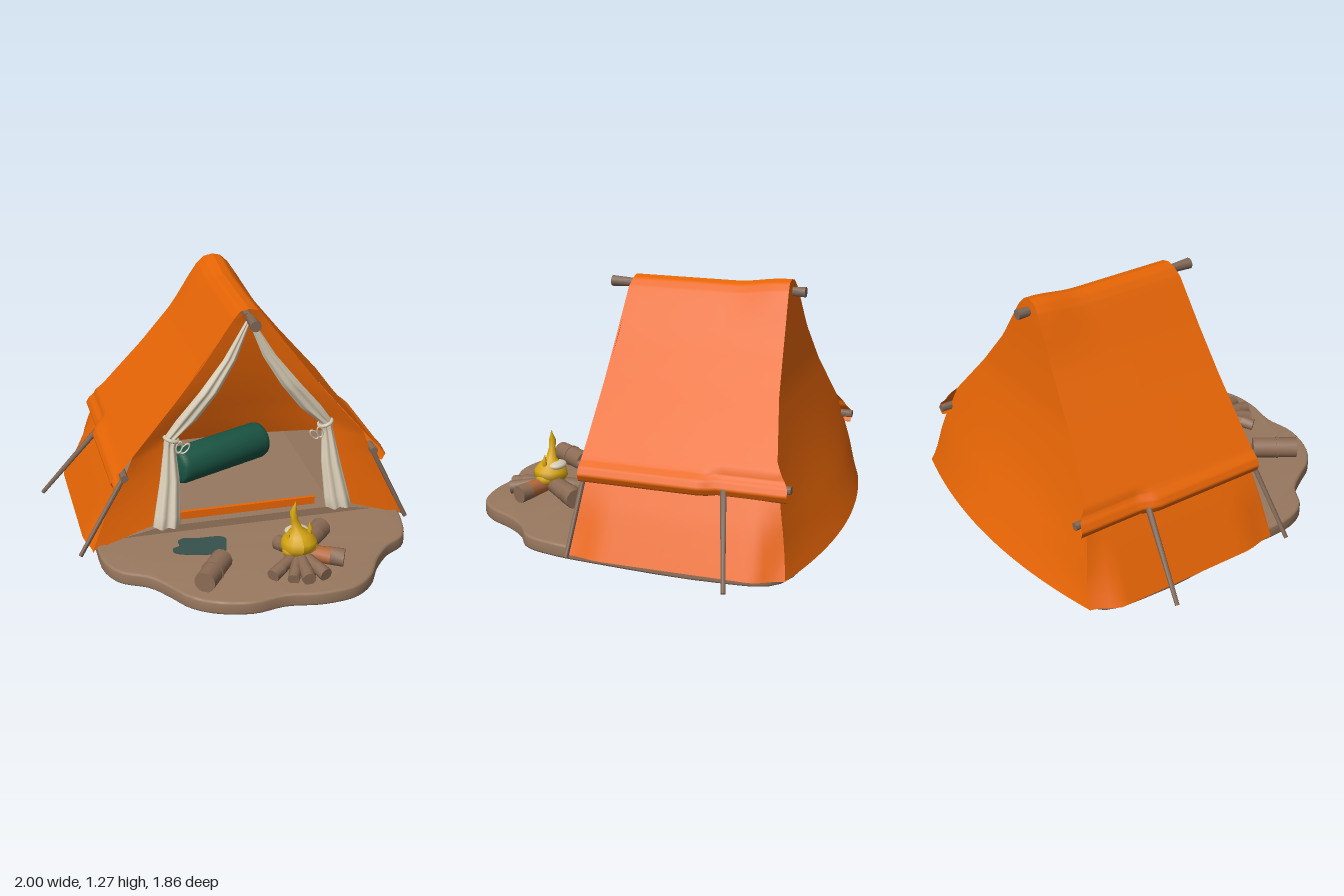
import * as THREE from 'three';
import { toCreasedNormals } from 'three/addons/utils/BufferGeometryUtils.js';

const mat = (name, color, double) => {
  const m = new THREE.MeshStandardMaterial({ color });
  m.name = name;
  if (double) m.side = THREE.DoubleSide;
  return m;
};

// Interpolate between the rows of a small table, t in 0..1
function sample(rows, t) {
  const f = t * (rows.length - 1), i = Math.min(Math.floor(f), rows.length - 2), k = f - i;
  return rows[i].map((a, j) => a + (rows[i + 1][j] - a) * k);
}

// Grid surface from a rule fn(u, v) -> [x, y, z]
function surface(nu, nv, fn) {
  const pos = [], idx = [];
  for (let i = 0; i <= nu; i++) for (let j = 0; j <= nv; j++) pos.push(...fn(i / nu, j / nv));
  for (let i = 0; i < nu; i++) for (let j = 0; j < nv; j++) {
    const a = i * (nv + 1) + j, b = a + nv + 1;
    idx.push(a, b, a + 1, b, b + 1, a + 1);
  }
  const g = new THREE.BufferGeometry();
  g.setAttribute('position', new THREE.Float32BufferAttribute(pos, 3));
  g.setIndex(idx);
  g.computeVertexNormals();
  return g;
}

// Flat slab lying on XZ with a smooth closed outline
function slab(points, y, depth, bevel) {
  const curve = new THREE.CatmullRomCurve3(points.map(p => new THREE.Vector3(p[0], p[1], 0)), true);
  const shape = new THREE.Shape(curve.getPoints(90).map(p => new THREE.Vector2(p.x, p.y)));
  const g = new THREE.ExtrudeGeometry(shape, {
    depth, bevelEnabled: bevel > 0, bevelSize: bevel, bevelThickness: bevel, bevelOffset: -bevel, bevelSegments: 3,
  });
  g.rotateX(Math.PI / 2);
  g.translate(0, y + depth + bevel, 0);
  return toCreasedNormals(g, 0.7);
}

export function createModel() {
  const root = new THREE.Group();
  root.name = 'campsite';
  const canvas = mat('orange canvas', 0xe76505, true);
  const earth = mat('earth', 0x98785f);
  const wood = mat('pole wood', 0x806857);
  const bark = mat('log bark', 0x8c6c55);
  const ember = mat('ember', 0xb4683a);
  const cream = mat('cream cloth', 0xd6cab3, true);
  const green = mat('green bedroll', 0x1a5443);
  const teal = mat('dark teal mat', 0x37514d);
  const gold = mat('flame gold', 0xd6a512);

  const add = (name, geometry, material, parent = root) => {
    const m = new THREE.Mesh(geometry, material);
    m.name = name;
    parent.add(m);
    return m;
  };
  const rod = (name, a, b, r1, r2, material, sides = 12) => {
    const va = new THREE.Vector3(...a), d = new THREE.Vector3(...b).sub(va);
    const g = toCreasedNormals(new THREE.CylinderGeometry(r2, r1, d.length(), sides), 0.9);
    const m = add(name, g, material);
    m.position.copy(va).addScaledVector(d, 0.5);
    m.quaternion.setFromUnitVectors(new THREE.Vector3(0, 1, 0), d.normalize());
    return m;
  };

  // Ground with a scalloped front
  add('ground', slab([
    [-0.8, 0.1], [-0.79, 0.38], [-0.73, 0.5], [-0.6, 0.58], [-0.52, 0.69], [-0.45, 0.8], [-0.34, 0.88],
    [-0.16, 0.925], [0, 0.9], [0.18, 0.925], [0.35, 0.9], [0.45, 0.82], [0.53, 0.68], [0.62, 0.57],
    [0.73, 0.49], [0.78, 0.35], [0.81, 0.1], [0.83, -0.5], [0.77, -0.78], [0.4, -0.87], [0, -0.89],
    [-0.4, -0.87], [-0.77, -0.78], [-0.83, -0.5],
  ], 0, 0.046, 0.012), earth);

  // Raised floor with a sloping front and sides, and a low door sill
  const floorShape = new THREE.Shape([[-0.78, 0.05], [0.78, 0.05], [0.45, 0.11], [-0.45, 0.11]].map(p => new THREE.Vector2(...p)));
  const floor = new THREE.ExtrudeGeometry(floorShape, { depth: 0.95, bevelEnabled: false });
  floor.translate(0, 0, -0.77);
  add('tentFloor', floor, earth);
  const sill = add('doorSill', new THREE.BoxGeometry(0.74, 0.045, 0.02), canvas);
  sill.position.set(0, 0.128, 0.12);

  // Canvas rows: x, y, front z, back z
  const roofRows = [
    [0, 1.25, 0.18, -0.63], [0.045, 1.24, 0.18, -0.63], [0.085, 1.2, 0.19, -0.635], [0.235, 0.985, 0.2, -0.655],
    [0.39, 0.79, 0.205, -0.68], [0.6, 0.54, 0.215, -0.735],
  ];
  const lipRows = [
    [0.66, 0.47, 0.22, -0.78], [0.7, 0.44, 0.22, -0.8], [0.718, 0.405, 0.22, -0.805], [0.7, 0.37, 0.22, -0.8], [0.64, 0.39, 0.2, -0.77],
  ];
  const wallRows = [[0.645, 0.42, 0.2, -0.76], [0.74, 0.25, 0.21, -0.795], [0.85, 0.035, 0.23, -0.83]];
  const roofLip = [...roofRows, ...lipRows];
  const backRows = [...roofRows, ...wallRows];
  const step = THREE.MathUtils.smoothstep;
  const side = (rows, t, v) => {
    let [x, y, zf, zb] = sample(rows, t);
    const z = zf + (zb - zf) * v;
    if (y > 1) y += 0.025 * step(-z, 0.35, 0.6) * step(y, 1, 1.2);
    if (rows === roofLip) x -= 0.03 * step(-z, 0.4, 0.45) * step(0.5 - y, 0, 0.06);
    else x -= (0.07 * step(v, 0.86, 1) + 0.03 * step(z, 0.05, 0.22)) * step(0.42 - y, 0, 0.35);
    return [x, y, z];
  };

  // Back panel, bulging toward the base
  add('backPanel', surface(32, 24, (u, v) => {
    const [x, y, z] = side(backRows, u, 1), s = 2 * v - 1;
    return [x * s, y, z - 0.1 * Math.max(0, (0.7 - y) / 0.66) ** 2 * (1 - s * s)];
  }), canvas);

  // Front panel rows: outer x, y, z, inner x, y, z
  const frontRows = [
    [0.01, 1.23, 0.18, 0, 1.2, 0.17], [0.085, 1.19, 0.18, 0.03, 1.13, 0.17], [0.39, 0.785, 0.2, 0.25, 0.83, 0.175],
    [0.6, 0.535, 0.205, 0.4, 0.61, 0.16], [0.645, 0.42, 0.2, 0.44, 0.42, 0.18], [0.74, 0.25, 0.21, 0.46, 0.28, 0.2],
    [0.82, 0.045, 0.228, 0.5, 0.15, 0.22],
  ];
  // Curtain rows: x, y, half width, z, half depth
  const curtainRows = [
    [0.005, 1.19, 0.012, 0.18, 0.008], [0.1, 1.0, 0.034, 0.19, 0.015], [0.21, 0.84, 0.05, 0.2, 0.022],
    [0.32, 0.7, 0.055, 0.19, 0.02], [0.4, 0.61, 0.035, 0.18, 0.025], [0.41, 0.56, 0.03, 0.185, 0.025],
    [0.42, 0.4, 0.05, 0.225, 0.03], [0.45, 0.17, 0.07, 0.275, 0.045], [0.45, 0.18, 0, 0.275, 0],
  ];
  const ropes = {
    '-1': [[[-0.65, 0.43, 0.21], [-0.89, 0.05, 0.27]], [[-0.68, 0.41, -0.43], [-0.99, 0.04, -0.48]]],
    '1': [[[0.65, 0.43, 0.2], [0.84, 0.03, 0.23]], [[0.68, 0.4, -0.5], [0.99, 0.03, -0.6]]],
  };
  for (const s of [-1, 1]) {
    const tag = s > 0 ? 'left' : 'right';
    const flip = p => [p[0] * s, p[1], p[2]];
    add(tag + 'Roof', surface(40, 24, (u, v) => flip(side(roofLip, u, v))), canvas);
    add(tag + 'Wall', surface(8, 24, (u, v) => flip(side(wallRows, u, v))), canvas);
    add(tag + 'FrontPanel', surface(24, 4, (u, v) => {
      const [xo, yo, zo, xi, yi, zi] = sample(frontRows, u);
      return flip([xo + (xi - xo) * v, yo + (yi - yo) * v, zo + (zi - zo) * v]);
    }), canvas);

    // Gathered curtain with its tie and bow
    add(tag + 'Curtain', surface(32, 32, (u, v) => {
      const [x, y, w, z, d] = sample(curtainRows, u), a = v * Math.PI * 2;
      return flip([x + w * Math.cos(a), y, z + d * Math.sin(a) * (1 + 0.3 * Math.cos(6 * a))]);
    }), cream);
    const tie = add(tag + 'CurtainTie', new THREE.TorusGeometry(0.035, 0.01, 8, 20), cream);
    tie.position.set(0.4 * s, 0.6, 0.18);
    tie.rotation.set(Math.PI / 2, s * 0.35, 0);
    for (const k of [0, 1]) {
      const bow = add(tag + 'BowLoop', new THREE.TorusGeometry(0.03, 0.006, 6, 16), cream);
      bow.scale.x = 0.5;
      bow.position.set((0.365 - 0.03 * k) * s, 0.56 - 0.01 * k, 0.205);
      bow.rotation.z = s * (0.2 + 0.5 * k);
    }

    // Eave pole ends and guy poles
    rod(tag + 'EavePoleFront', [0.65 * s, 0.435, 0.15], [0.65 * s, 0.435, 0.24], 0.02, 0.02, wood);
    rod(tag + 'EavePoleBack', [0.64 * s, 0.425, -0.74], [0.64 * s, 0.425, -0.815], 0.02, 0.02, wood);
    ropes[s].forEach(([a, b], i) => rod(tag + 'GuyPole', a, b, 0.013 + 0.003 * i, 0.011, wood, 8));
  }

  // Ridge pole with thicker ends
  rod('ridgePole', [0, 1.205, 0.25], [0, 1.215, -0.66], 0.02, 0.02, wood);
  rod('ridgePoleFront', [0, 1.205, 0.17], [0, 1.205, 0.31], 0.02, 0.028, wood);
  rod('ridgePoleBack', [0, 1.215, -0.6], [0, 1.215, -0.7], 0.02, 0.026, wood);

  // Bedroll with rounded rims, turned toward the door
  const roll = [[0, -0.3], [0.075, -0.3], [0.093, -0.29], [0.1, -0.265], [0.1, 0.265], [0.093, 0.29], [0.075, 0.3], [0, 0.3]];
  const bed = add('bedroll', toCreasedNormals(
    new THREE.LatheGeometry(roll.map(p => new THREE.Vector2(...p)), 32), 0.8), green);
  bed.rotation.set(0, 0.46, Math.PI / 2 - 0.03);
  bed.position.set(-0.04, 0.24, -0.33);

  // Small mat on the ground
  add('doorMat', slab([[-0.435, 0.39], [-0.435, 0.35], [-0.4, 0.33], [-0.395, 0.28], [-0.36, 0.26], [-0.3, 0.275],
    [-0.18, 0.285], [-0.155, 0.31], [-0.165, 0.37], [-0.19, 0.44], [-0.23, 0.45], [-0.37, 0.425]], 0.066, 0.008, 0), teal);

  // Seat log
  rod('seatLog', [-0.37, 0.12, 0.78], [-0.24, 0.12, 0.585], 0.053, 0.055, bark, 14);
  rod('seatLogBand', [-0.315, 0.12, 0.697], [-0.309, 0.12, 0.688], 0.058, 0.058, bark, 14);

  // Fire logs: outer end x, z, radius, height; one is glowing near the fire
  const fireLogs = [
    [0.32, 0.4, 0.054, 0.12], [0.08, 0.46, 0.04, 0.1], [0.345, 0.71, 0.046, 0.115], [0.22, 0.82, 0.034, 0.1],
    [0.13, 0.84, 0.034, 0.1], [0.06, 0.81, 0.03, 0.09], [-0.03, 0.76, 0.033, 0.095],
  ];
  fireLogs.forEach(([x, z, r, y], i) => {
    const c = [0.14, 0.13, 0.62];
    const mid = [x + (c[0] - x) * 0.3, y + (c[1] - y) * 0.3, z + (c[2] - z) * 0.3];
    rod('fireLog', [x, y, z], mid, r, r * 0.97, bark, 10);
    rod('fireLogInner', mid, c, r * 0.97, r * 0.8, i === 2 ? ember : bark, 10);
  });

  // Flames: leaning teardrops
  const flame = (name, x, z, w, y0, h, sway) => {
    const pts = [[0, 0], [0.75, 0.04], [1, 0.16], [0.95, 0.27], [0.65, 0.38], [0.3, 0.48], [0.2, 0.65], [0.2, 0.8], [0, 1]];
    const g = new THREE.LatheGeometry(pts.map(p => new THREE.Vector2(p[0] * w, p[1] * h)), 20);
    const p = g.attributes.position;
    for (let i = 0; i < p.count; i++) p.setX(i, p.getX(i) + sway * Math.sin(p.getY(i) / h * 6));
    g.computeVertexNormals();
    add(name, g, gold).position.set(x, y0, z);
  };
  flame('mainFlame', 0.125, 0.62, 0.09, 0.125, 0.285, 0.016);
  flame('leftFlame', 0.185, 0.63, 0.055, 0.13, 0.165, -0.008);
  flame('rightFlame', 0.085, 0.64, 0.04, 0.13, 0.13, 0.006);
  const core = add('flameCore', new THREE.SphereGeometry(0.062, 18, 10), cream);
  core.scale.set(1, 0.35, 0.75);
  core.position.set(0.138, 0.228, 0.582);

  return root;
}
